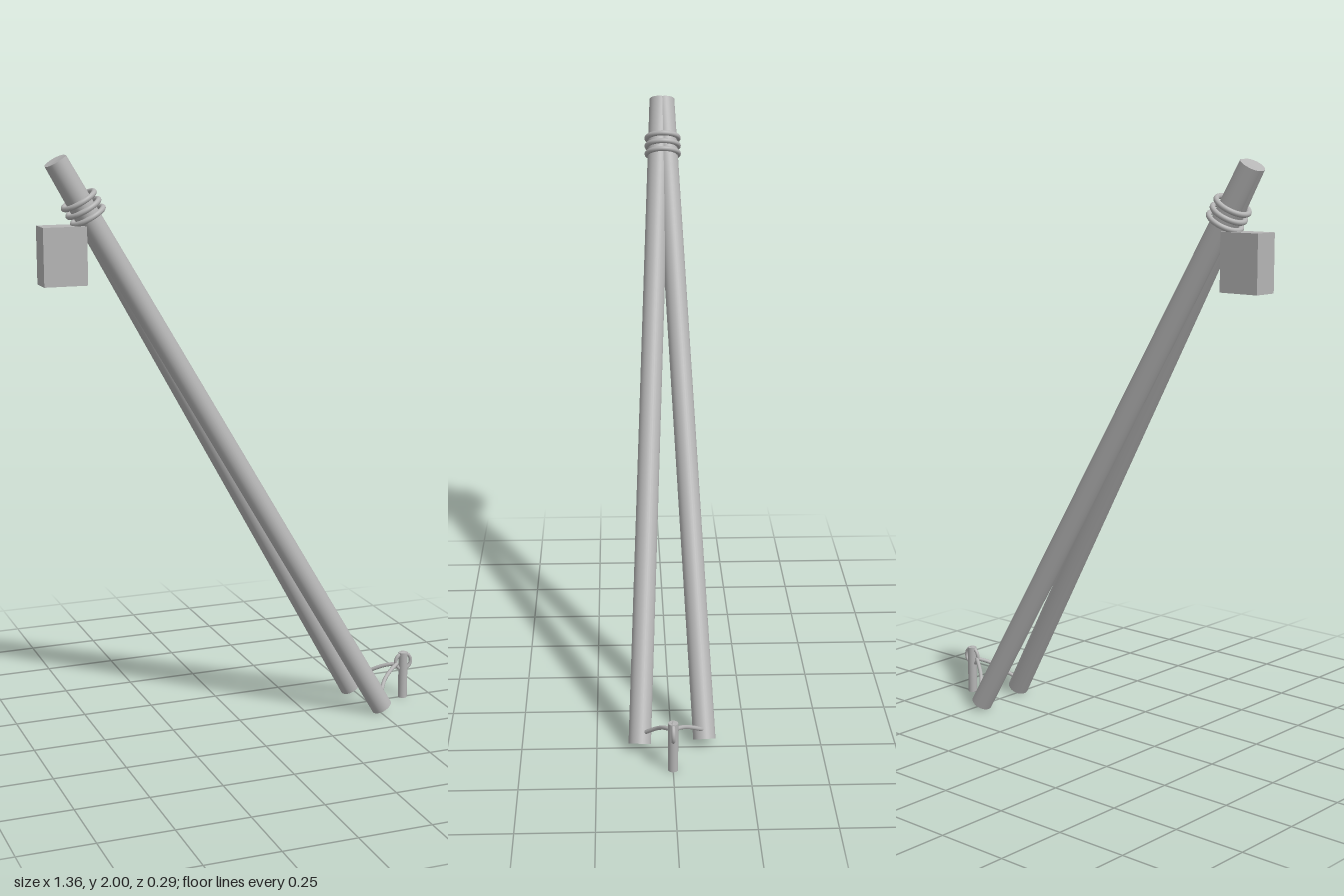
import * as THREE from 'three';

const V = (x, y, z) => new THREE.Vector3(x, y, z);
const UP = V(0, 1, 0);

export function createModel() {
  const model = new THREE.Group();
  const grey = new THREE.MeshStandardMaterial({ color: 0xb4b4b4 });
  grey.name = 'plain grey';

  const add = (name, geometry, position) => {
    const mesh = new THREE.Mesh(geometry, grey);
    mesh.name = name;
    if (position) mesh.position.copy(position);
    model.add(mesh);
    return mesh;
  };

  // Round pole running between two points
  const addPole = (name, from, to, radius) => {
    const dir = to.clone().sub(from);
    const geometry = new THREE.CylinderGeometry(radius, radius, dir.length(), 32);
    const pole = add(name, geometry, from.clone().add(to).multiplyScalar(0.5));
    pole.quaternion.setFromUnitVectors(UP, dir.normalize());
  };

  // Two leaning poles that meet at the top
  addPole('frontPole', V(0.507, 0.019, 0.107), V(-0.627, 1.981, 0.007), 0.0375);
  addPole('rearPole', V(0.482, 0.019, -0.11), V(-0.627, 1.981, -0.007), 0.0375);

  // Rope lashing: three rings square to the lean of the poles
  const axis = V(-1.13, 1.962, 0).normalize();
  for (let i = -1; i <= 1; i++) {
    const ring = add('lashingRing', new THREE.TorusGeometry(0.056, 0.009, 12, 40),
      V(-0.538, 1.83, 0).addScaledVector(axis, i * 0.029));
    ring.quaternion.setFromUnitVectors(V(0, 0, 1), axis);
  }

  // Hanging counterweight
  add('weightBlock', new THREE.BoxGeometry(0.145, 0.19, 0.088), V(-0.612, 1.68, 0));

  // Ground stake with a ring around its head
  add('stake', new THREE.CylinderGeometry(0.0165, 0.0165, 0.172, 24), V(0.643, 0.086, 0));
  add('stakeRing', new THREE.TorusGeometry(0.03, 0.0065, 12, 32), V(0.643, 0.138, 0));

  // Ropes from each pole foot to the stake ring
  const addRope = (name, points) => add(name,
    new THREE.TubeGeometry(new THREE.CatmullRomCurve3(points), 24, 0.007, 10));
  addRope('frontRope', [V(0.507, 0.06, 0.095), V(0.545, 0.098, 0.051), V(0.58, 0.12, 0.027), V(0.618, 0.132, 0.001)]);
  addRope('rearRope', [V(0.49, 0.06, -0.105), V(0.54, 0.098, -0.057), V(0.58, 0.12, -0.028), V(0.618, 0.132, -0.001)]);

  return model;
}
